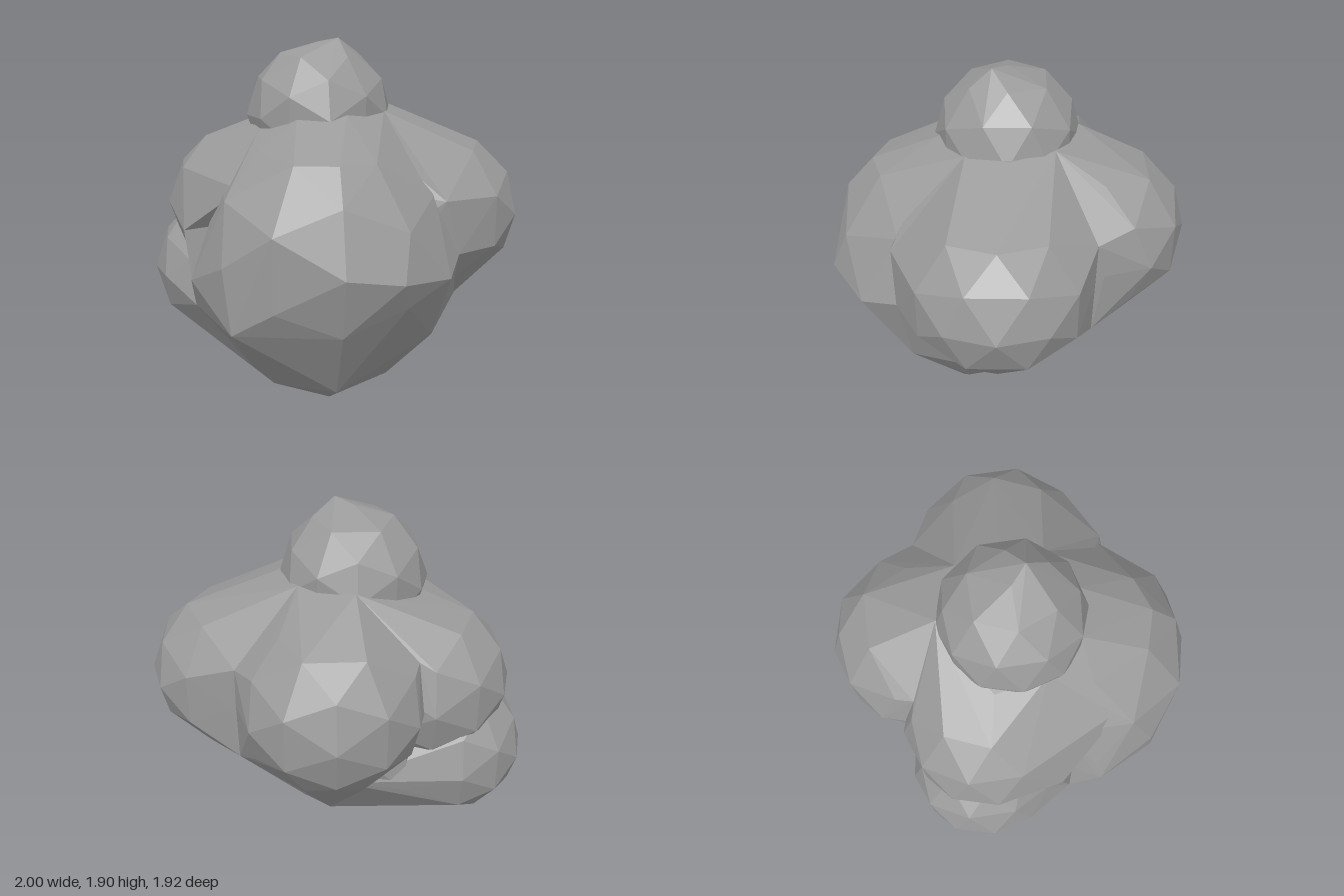
import * as THREE from 'three';
import { ConvexGeometry } from 'three/addons/geometries/ConvexGeometry.js';

const V = (x, y, z) => new THREE.Vector3(x, y, z);

// shared points under the mass, around the foot of the crown and in the valleys between lobes
const base = {
  tip: V(-0.09, 0, 0.32), mid: V(0.1, 0.03, 0.1), right: V(0.24, 0.08, 0.24),
  left: V(-0.39, 0.12, 0.36), front: V(-0.1, 0.17, 0.63), back: V(0.04, 0.12, -0.2),
  sideLow: V(0.38, 0.21, 0.2), sideFront: V(0.42, 0.4, 0.5),
  side: V(0.63, 0.52, 0.2), sideBack: V(0.53, 0.42, -0.1),
};
const rim = {
  front: V(0, 1.53, 0.34), right: V(0.3, 1.54, -0.02),
  left: V(-0.46, 1.46, -0.15), back: V(-0.08, 1.56, -0.38),
  frontRight: V(-0.25, 1.51, 0.31), frontLeft: V(0.22, 1.53, 0.2),
  sideRight: V(-0.41, 1.47, 0.12), backLeft: V(0.2, 1.55, -0.25),
};
const valley = {
  frontLeft: V(0.46, 1.12, 0.57), frontLeftLow: V(0.54, 0.84, 0.55), frontLeftFoot: V(0.53, 0.67, 0.43),
  backLeft: V(0.52, 1.2, -0.46), backLeftLow: V(0.52, 0.68, -0.45),
  backRight: V(-0.38, 1.27, -0.55), backRightLow: V(-0.32, 0.53, -0.58),
  frontRight: V(-0.83, 0.92, 0.15), frontRightLow: V(-0.78, 0.53, 0.22),
};

export function createModel() {
  const group = new THREE.Group();
  const material = new THREE.MeshStandardMaterial({ color: 0x9a9a9a, flatShading: true });

  // faceted ellipsoid stretched towards extra anchor points
  function lobe(name, center, radii, detail, anchors = []) {
    const p = new THREE.IcosahedronGeometry(1, detail).attributes.position;
    const points = new Map();
    for (let i = 0; i < p.count; i++) {
      const v = new THREE.Vector3().fromBufferAttribute(p, i);
      const key = v.toArray().map((n) => Math.round(n * 1000)).join();
      points.set(key, v.multiply(V(...radii)).add(V(...center)));
    }
    const mesh = new THREE.Mesh(new ConvexGeometry([...points.values(), ...anchors]), material);
    mesh.name = name;
    group.add(mesh);
  }

  // inner mass that fills the valleys
  lobe('core', [0, 0.85, 0], [0.62, 0.68, 0.6], 1,
    [base, rim, valley].flatMap((set) => Object.values(set)));

  // bulging lobes around it
  lobe('frontLobe', [-0.11, 0.86, 0.35], [0.64, 0.59, 0.61], 1,
    [base.tip, base.right, base.left, base.front, base.sideFront, base.sideLow,
      rim.front, rim.frontLeft, rim.frontRight, rim.sideRight, valley.frontLeftLow, valley.frontRightLow,
      V(-0.62, 0.54, 0.72), V(-0.5, 0.22, 0.35), V(-0.8, 0.72, 0.38),
      V(0.44, 0.78, 0.75), V(0.17, 0.82, 0.94), V(-0.1, 1.34, 0.72)]);
  lobe('leftLobe', [0.55, 0.97, 0.03], [0.45, 0.43, 0.48], 1,
    [base.side, base.sideBack, rim.right, rim.frontLeft, rim.backLeft,
      valley.frontLeft, valley.frontLeftLow, valley.frontLeftFoot, valley.backLeft, valley.backLeftLow]);
  lobe('backLobe', [0.04, 1.02, -0.5], [0.48, 0.45, 0.46], 1,
    [base.mid, base.back, base.sideBack, rim.back, rim.backLeft,
      valley.backLeft, valley.backLeftLow, valley.backRight]);
  lobe('upperRightLobe', [-0.46, 1.0, -0.2], [0.45, 0.43, 0.44], 1,
    [rim.left, rim.back, rim.sideRight, rim.frontRight, valley.frontRight, valley.backRight,
      V(-0.55, 1.2, 0.5)]);
  lobe('lowerRightLobe', [-0.62, 0.62, -0.24], [0.38, 0.39, 0.4], 1,
    [base.left, base.mid, base.back, valley.backRightLow, valley.frontRightLow, V(0, 0.56, -0.55)]);

  // small crown on top, its peak set off centre
  lobe('crown', [-0.09, 1.5, -0.01], [0.39, 0.38, 0.385], 1, [V(0, 1.9, 0.07)]);

  return group;
}
